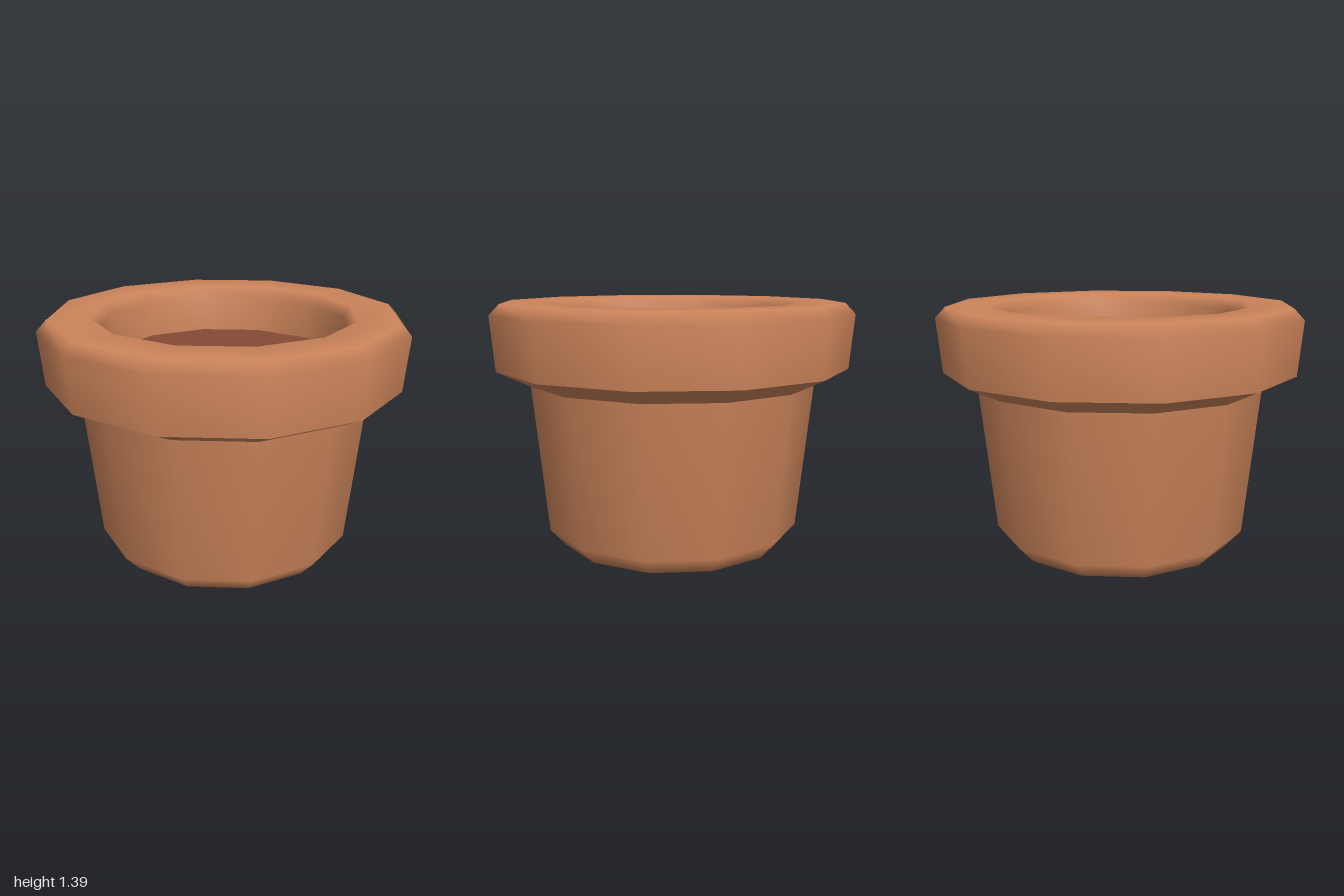
import * as THREE from 'three';

const SIDES = 12;
const TURN = Math.PI / SIDES; // flats face the axes
const FLAT = 1 / Math.cos(TURN); // flat-to-centre distance -> corner radius

// Twelve-sided turned part; profile is [flat radius, height]
function turned(name, profile, material) {
  const points = profile.map(([r, y]) => new THREE.Vector2(r * FLAT, y));
  const mesh = new THREE.Mesh(new THREE.LatheGeometry(points, SIDES, TURN), material);
  mesh.name = name;
  return mesh;
}

export function createModel() {
  const terracotta = new THREE.MeshStandardMaterial({ color: 0xcc845a });
  terracotta.name = 'terracotta';
  const earth = new THREE.MeshStandardMaterial({ color: 0x854a36 });
  earth.name = 'earth';

  const pot = new THREE.Group();
  pot.name = 'flowerPot';

  // Tapered body with a bevelled foot and closed base
  pot.add(turned('body', [[0, 0], [0.63, 0], [0.715, 0.1], [0.795, 0.94]], terracotta));

  // Sloping underside of the collar, sharp at both edges
  pot.add(turned('collarUnderside', [[0.795, 0.94], [0.975, 1.03]], terracotta));

  // Thick rounded collar, over the lip and down the inside
  pot.add(turned('collar', [
    [0.975, 1.03], [1, 1.335], [0.945, 1.395],
    [0.72, 1.395], [0.68, 1.33], [0.663, 1.12],
  ], terracotta));

  // Soil surface
  const soil = new THREE.Mesh(new THREE.CircleGeometry(0.665 * FLAT, SIDES, TURN), earth);
  soil.name = 'soil';
  soil.rotation.x = -Math.PI / 2;
  soil.position.y = 1.125;
  pot.add(soil);

  return pot;
}
